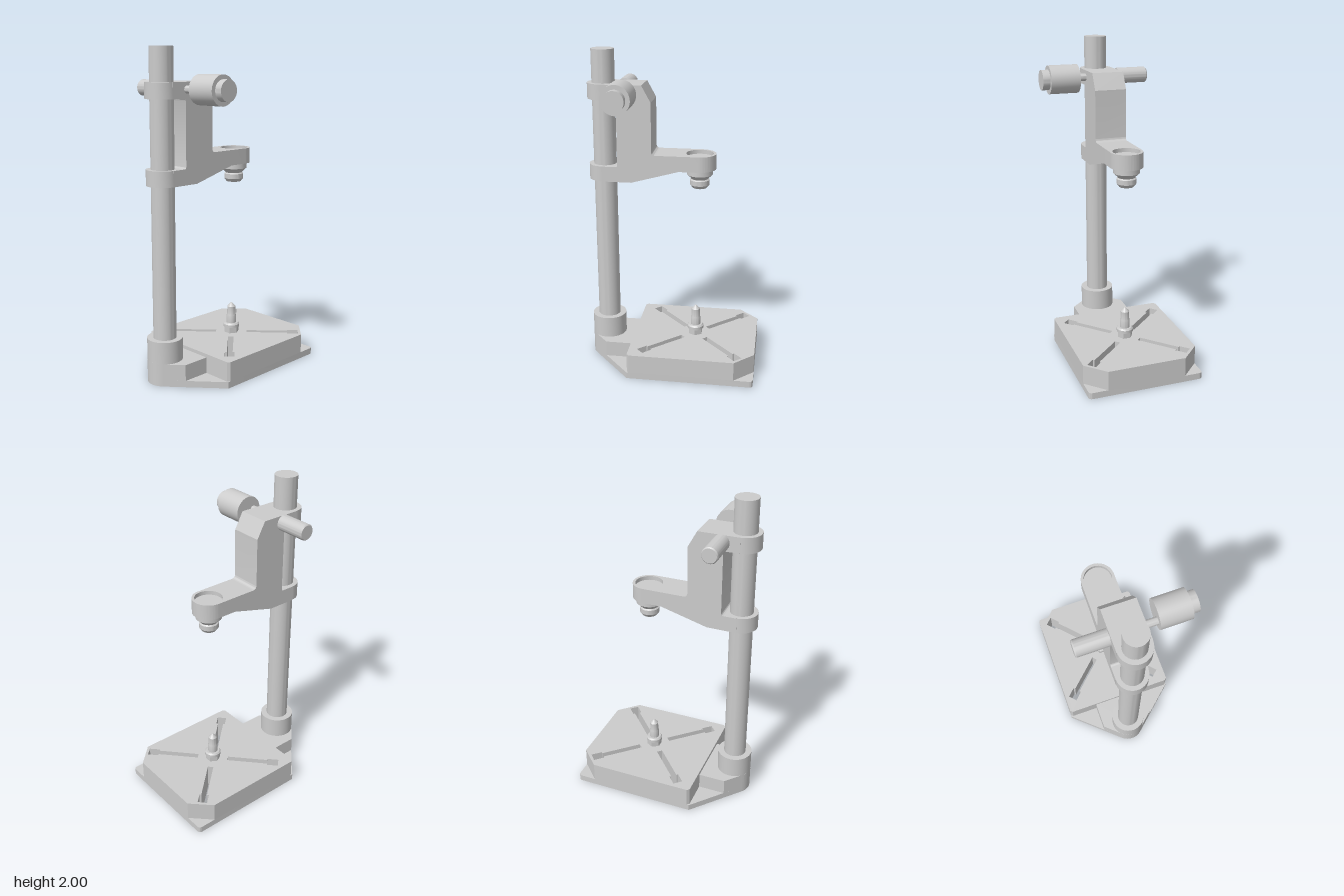
import * as THREE from 'three';
import { toCreasedNormals } from 'three/addons/utils/BufferGeometryUtils.js';

const COL = -0.43;   // column axis
const PIN = 0.143;   // centre of the base table
const HEAD = 0.16;   // axis of the arm head

export function createModel() {
  const root = new THREE.Group();
  const material = new THREE.MeshStandardMaterial({ color: 0xcccccc });

  const add = (name, geometry, x = 0, y = 0, z = 0) => {
    const mesh = new THREE.Mesh(toCreasedNormals(geometry, 0.5), material);
    mesh.name = name;
    mesh.position.set(x, y, z);
    root.add(mesh);
    return mesh;
  };
  const extrude = (shape, depth) =>
    new THREE.ExtrudeGeometry(shape, { depth, bevelEnabled: false, curveSegments: 24 });
  // Plan outline (x, z) extruded from y0 up to y1
  const slab = (name, shape, y0, y1) =>
    add(name, extrude(shape, y1 - y0).rotateX(Math.PI / 2), 0, y1);
  const lathe = (pts, segments = 48) =>
    new THREE.LatheGeometry(pts.map(p => new THREE.Vector2(...p)), segments);
  const outline = pts => new THREE.Shape(pts.map(p => new THREE.Vector2(...p)));
  const circle = (x, r) => new THREE.Path().absarc(x, 0, r, 0, Math.PI * 2, true);

  // Four cross slots with wide outer ends
  const slots = () => [0, 1, 2, 3].map(i => {
    const a = THREE.MathUtils.degToRad(46.9 + i * 90), c = Math.cos(a), s = Math.sin(a);
    const pts = [[0.1, -0.018], [0.367, -0.018], [0.367, -0.03], [0.438, -0.03],
      [0.438, 0.03], [0.367, 0.03], [0.367, 0.018], [0.1, 0.018]];
    return new THREE.Path(pts.map(([u, v]) =>
      new THREE.Vector2(PIN + u * c - v * s, u * s + v * c)));
  });

  // Base: flange with a rounded nose, raised table and neck
  const W = 0.366, R = 0.108, nose = THREE.MathUtils.degToRad(138.4);
  const flange = new THREE.Shape();
  flange.moveTo(-0.25, -W);
  flange.lineTo(0.515, -W);
  flange.quadraticCurveTo(0.54, -W, 0.54, -W + 0.025);
  flange.lineTo(0.54, W - 0.025);
  flange.quadraticCurveTo(0.54, W, 0.515, W);
  flange.lineTo(-0.25, W);
  flange.absarc(COL, 0, R, nose, Math.PI * 2 - nose, false);
  flange.closePath();
  flange.holes.push(...slots(), circle(PIN, 0.02));
  slab('baseFlange', flange, 0, 0.04);

  const table = outline([[-0.235, -W], [0.42, -W], [0.54, -0.248], [0.54, 0.248],
    [0.42, W], [-0.235, W], [-0.25, W - 0.015], [-0.25, -W + 0.015]]);
  table.holes.push(...slots());
  slab('baseTable', table, 0.04, 0.162);

  const neck = new THREE.Shape();
  neck.moveTo(-0.25, -0.174);
  neck.lineTo(-0.25, 0.174);
  neck.lineTo(-0.42, 0.174);
  neck.absarc(COL, 0, R, nose, Math.PI * 2 - nose, false);
  neck.lineTo(-0.42, -0.174);
  neck.closePath();
  slab('baseNeck', neck, 0.04, 0.14);

  // Column and its collar
  add('columnCollar', lathe([[0, 0.04], [R, 0.04], [R, 0.275], [0, 0.275]]), COL);
  add('column', lathe([[0, 0.1], [0.07, 0.1], [0.07, 2], [0, 2]]), COL);

  // Pointed centre pin on a hexagonal foot
  add('pinFoot', new THREE.CylinderGeometry(0.048, 0.048, 0.045, 6), PIN, 0.182);
  add('centrePin', lathe([[0, 0.2], [0.052, 0.2], [0.052, 0.218], [0.044, 0.227], [0.031, 0.227],
    [0.031, 0.275], [0.027, 0.285], [0.027, 0.335], [0.004, 0.36], [0, 0.36]], 32), PIN);

  // Arm: side profile with upright, clamp lugs and sloped underside
  const arm = new THREE.Shape();
  arm.moveTo(COL, 1.205);
  arm.lineTo(-0.25, 1.205);
  arm.lineTo(0.04, 1.285);
  arm.lineTo(0.04, 1.38);
  arm.lineTo(-0.1, 1.38);
  arm.quadraticCurveTo(-0.125, 1.38, -0.125, 1.405);
  arm.lineTo(-0.125, 1.7);
  arm.lineTo(-0.18, 1.8);
  arm.lineTo(COL, 1.8);
  arm.lineTo(COL, 1.705);
  arm.lineTo(-0.35, 1.705);
  arm.quadraticCurveTo(-0.335, 1.705, -0.335, 1.69);
  arm.lineTo(-0.335, 1.315);
  arm.quadraticCurveTo(-0.335, 1.3, -0.35, 1.3);
  arm.lineTo(COL, 1.3);
  arm.closePath();
  add('arm', extrude(arm, 0.2), 0, 0, -0.1);
  for (const [name, y0, y1] of [['lowerClamp', 1.205, 1.3], ['upperClamp', 1.705, 1.8]])
    add(name, lathe([[0, y0], [0.098, y0], [0.098, y1], [0, y1]]), COL);

  // Arm head with a shallow round seat
  const head = new THREE.Shape();
  head.moveTo(0.04, -0.1);
  head.lineTo(HEAD, -0.1);
  head.absarc(HEAD, 0, 0.1, -Math.PI / 2, Math.PI / 2, false);
  head.lineTo(0.04, 0.1);
  head.closePath();
  head.holes.push(circle(HEAD, 0.084));
  slab('armHead', head, 1.285, 1.38);
  add('headSeat', lathe([[0, 1.285], [0.084, 1.285], [0.084, 1.355], [0, 1.355]]), HEAD);

  // Stepped nozzle under the head
  add('nozzle', lathe([[0, 1.185], [0.022, 1.185], [0.022, 1.165], [0.045, 1.165], [0.06, 1.185],
    [0.06, 1.215], [0.052, 1.222], [0.06, 1.232], [0.08, 1.25], [0.08, 1.287], [0, 1.287]]), HEAD);

  // Cross rod with a handle at the back and an offset knob at the front
  const crosswise = (name, x, pts) => add(name, lathe(pts).rotateX(Math.PI / 2), x, 1.757);
  crosswise('crossRod', -0.323, [[0, -0.15], [0.023, -0.15], [0.023, 0.2], [0, 0.2]]);
  crosswise('rearHandle', -0.323, [[0, -0.3], [0.043, -0.3], [0.049, -0.293],
    [0.049, -0.105], [0, -0.105]]);
  crosswise('knob', -0.285, [[0, 0.167], [0.088, 0.167], [0.088, 0.352], [0.062, 0.352],
    [0.062, 0.397], [0, 0.397]]);

  // Shift so the overall depth is centred
  for (const mesh of root.children) mesh.position.z -= 0.017;
  return root;
}
